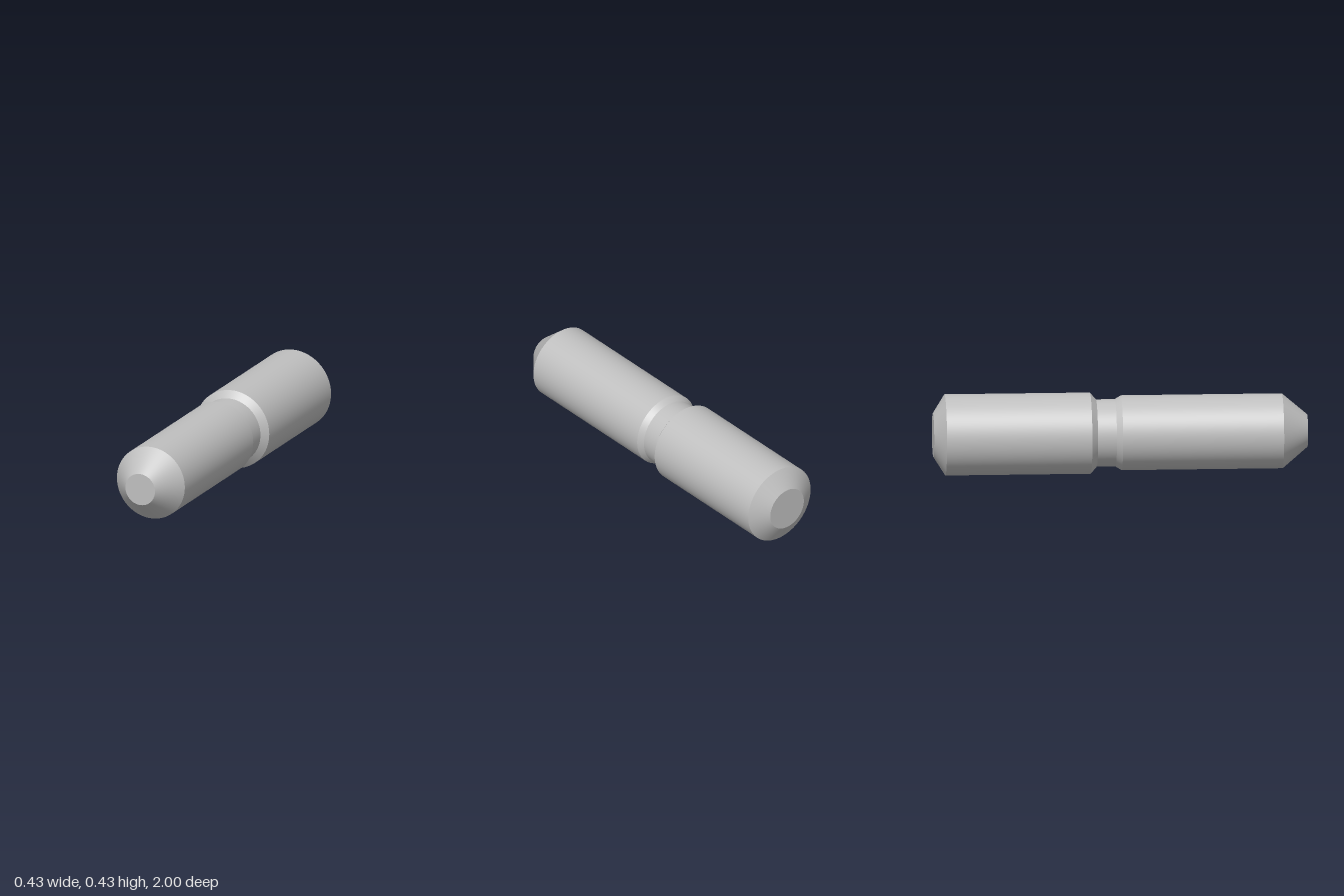
import * as THREE from 'three';

export function createModel() {
  const model = new THREE.Group();
  model.name = 'steppedPin';
  const steel = new THREE.MeshStandardMaterial({ color: 0xbfbfbf });
  steel.name = 'steelGrey';

  // Each section runs from [radius, z] to [radius, z], back to front;
  // separate sections keep the edges between them sharp.
  const sections = [
    ['backEndFace', [0, -1], [0.117, -1]],
    ['backChamfer', [0.117, -1], [0.217, -0.937]],
    ['thickShaft', [0.217, -0.937], [0.217, -0.16]],
    ['thickShoulder', [0.217, -0.16], [0.18, -0.128]],
    ['neck', [0.18, -0.128], [0.18, -0.027]],
    ['thinShoulder', [0.18, -0.027], [0.2, 0.005]],
    ['thinShaft', [0.2, 0.005], [0.2, 0.866]],
    ['frontTaper', [0.2, 0.866], [0.087, 1]],
    ['frontEndFace', [0.087, 1], [0, 1]],
  ];
  for (const [name, a, b] of sections) {
    const profile = [new THREE.Vector2(...a), new THREE.Vector2(...b)];
    const geometry = new THREE.LatheGeometry(profile, 96);
    geometry.rotateX(Math.PI / 2); // lay the axis along z
    const mesh = new THREE.Mesh(geometry, steel);
    mesh.name = name;
    mesh.position.y = 0.217;
    model.add(mesh);
  }
  return model;
}
